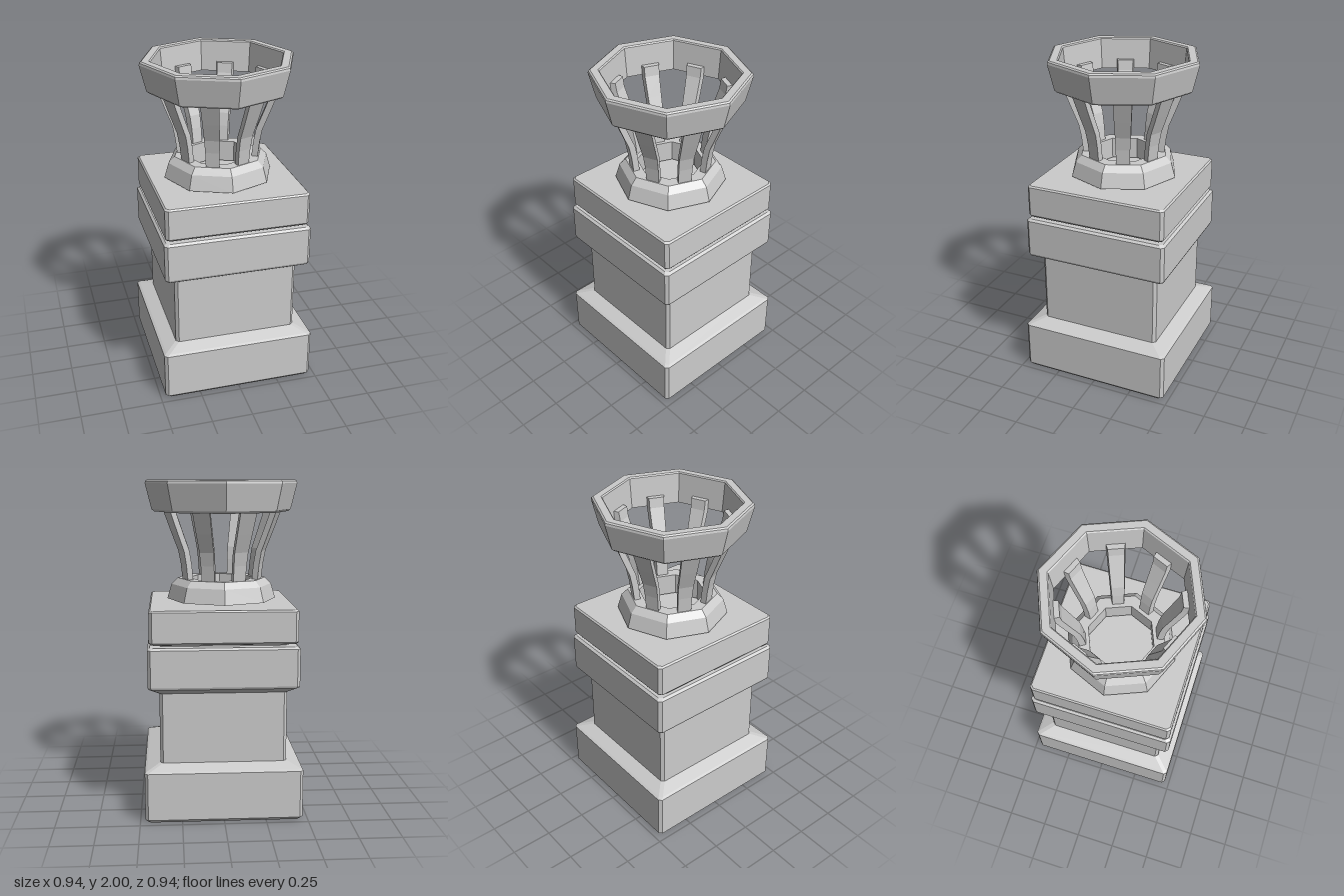
import * as THREE from 'three';

const material = new THREE.MeshStandardMaterial({ color: 0xcccccc, flatShading: true });

// Skins a stack of equal-length rings (counter-clockwise seen from above, bottom first) and caps both ends.
function loft(rings) {
  const n = rings[0].length;
  const positions = rings.flat(2);
  const index = [];
  for (let r = 0; r < rings.length - 1; r++) {
    for (let i = 0; i < n; i++) {
      const a = r * n + i, b = r * n + (i + 1) % n;
      index.push(a, b, b + n, a, b + n, a + n);
    }
  }
  const top = (rings.length - 1) * n;
  for (let i = 1; i < n - 1; i++) {
    index.push(0, i + 1, i, top, top + i, top + i + 1);
  }
  const geometry = new THREE.BufferGeometry();
  geometry.setAttribute('position', new THREE.Float32BufferAttribute(positions, 3));
  geometry.setIndex(index);
  const flat = geometry.toNonIndexed();
  flat.computeVertexNormals();
  return flat;
}

// Square ring with chamfered corners.
function squareRing(half, y, c = 0.018) {
  const h = half, k = half - c;
  return [[h, k], [h, -k], [k, -h], [-k, -h], [-h, -k], [-h, k], [-k, h], [k, h]]
    .map(([x, z]) => [x, y, z]);
}

function addMesh(parent, geometry, name) {
  const mesh = new THREE.Mesh(geometry, material);
  mesh.name = name;
  parent.add(mesh);
  return mesh;
}

// Eight-sided ring from a closed profile of [radius, height].
function octagonRing(profile) {
  const points = [...profile, profile[0]].map(([r, y]) => new THREE.Vector2(r, y));
  return new THREE.LatheGeometry(points, 8);
}

export function createModel() {
  const model = new THREE.Group();
  model.name = 'brazierOnPedestal';

  // Square pedestal: [half width, height] per tier
  const pedestal = new THREE.Group();
  pedestal.name = 'pedestal';
  model.add(pedestal);
  const tiers = {
    base: [[0.455, 0], [0.47, 0.018], [0.47, 0.305], [0.455, 0.313], [0.38, 0.342]],
    shaft: [[0.378, 0.33], [0.378, 0.79]],
    lowerCap: [[0.385, 0.77], [0.44, 0.805], [0.445, 0.818], [0.445, 1.038], [0.43, 1.05]],
    capNeck: [[0.375, 1.04], [0.375, 1.06]],
    upperCap: [[0.38, 1.056], [0.425, 1.066], [0.434, 1.078], [0.434, 1.257], [0.425, 1.266]],
  };
  for (const [name, profile] of Object.entries(tiers)) {
    addMesh(pedestal, loft(profile.map(([h, y]) => squareRing(h, y))), name);
  }

  // Octagonal basket, set slightly off the pedestal's axis
  const basket = new THREE.Group();
  basket.name = 'basket';
  basket.position.x = -0.01;
  model.add(basket);

  addMesh(basket, octagonRing([
    [0.335, 1.28], [0.308, 1.37], [0.27, 1.408], [0.2, 1.408], [0.2, 1.28],
  ]), 'collar');

  addMesh(basket, octagonRing([
    [0.41, 1.812], [0.425, 1.825], [0.463, 1.98], [0.46, 1.993], [0.45, 2],
    [0.405, 2], [0.398, 1.993], [0.383, 1.812],
  ]), 'topRing');

  // Bent struts: [mid radius, height, half width], flaring towards the top
  const strutGeometry = loft([
    [0.223, 1.39, 0.04], [0.235, 1.5, 0.042], [0.25, 1.58, 0.045],
    [0.293, 1.69, 0.049], [0.338, 1.81, 0.053], [0.347, 1.87, 0.055],
  ].map(([r, y, w]) => {
    const t = 0.019;
    return [[r + t, y, w], [r + t, y, -w], [r - t, y, -w * 0.85], [r - t, y, w * 0.85]];
  }));
  for (let i = 0; i < 8; i++) {
    addMesh(basket, strutGeometry, 'strut').rotation.y = (i + 0.5) * Math.PI / 4;
  }

  return model;
}
